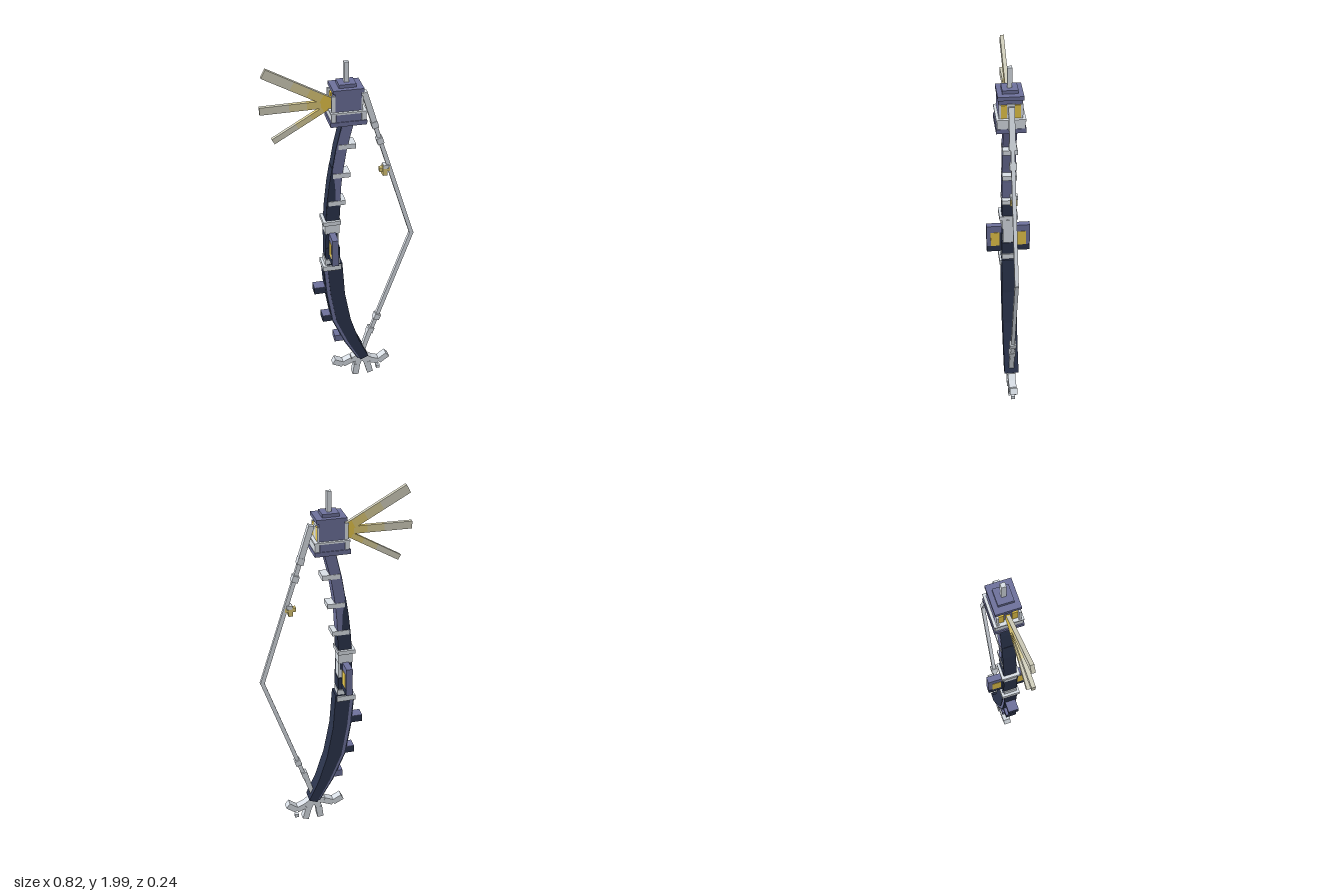
import * as THREE from 'three';

const mat = (name, color) => {
  const m = new THREE.MeshStandardMaterial({ color });
  m.name = name;
  return m;
};

export function createModel() {
  const root = new THREE.Group();
  root.name = 'bow';
  const slate = mat('slate', 0x6d719b);
  const navy = mat('navy', 0x2b344c);
  const grey = mat('pale grey', 0xd9dfe6);
  const gold = mat('gold', 0xeccb4c);
  const dullGold = mat('dull gold', 0xdfcb78);
  const paleGold = mat('pale gold', 0xdacf9c);
  const sand = mat('sand', 0xd3d1be);

  const add = (name, geo, m, parent = root) => {
    const mesh = new THREE.Mesh(geo, m);
    mesh.name = name;
    parent.add(mesh);
    return mesh;
  };
  // box from its limits in x and y, and its half depth about z
  const block = (name, m, x0, x1, y0, y1, hz, z = 0) => {
    const b = add(name, new THREE.BoxGeometry(x1 - x0, y1 - y0, hz * 2), m);
    b.position.set((x0 + x1) / 2, (y0 + y1) / 2, z);
    return b;
  };
  // square bar between two points in the xy plane
  const bar = (name, m, a, b, w, hz) => {
    const dx = b[0] - a[0], dy = b[1] - a[1];
    const mesh = add(name, new THREE.BoxGeometry(w, Math.hypot(dx, dy), hz * 2), m);
    mesh.position.set((a[0] + b[0]) / 2, (a[1] + b[1]) / 2, 0);
    mesh.rotation.z = Math.atan2(dy, dx) - Math.PI / 2;
    return mesh;
  };
  // slab whose outline lies between a left and a right edge
  const slab = (name, m, left, right, hz) => {
    const shape = new THREE.Shape([...left, ...[...right].reverse()].map(p => new THREE.Vector2(...p)));
    const geo = new THREE.ExtrudeGeometry(shape, { depth: hz * 2, bevelEnabled: false });
    geo.translate(0, 0, -hz);
    return add(name, geo, m);
  };
  // thin skin laid along a left edge
  const skin = (name, m, edge, t, hz) => slab(name, m, edge.map(([x, y]) => [x - t, y]), edge, hz);

  // Upper limb: slate front, navy back and navy root
  const upperEdge = [[0.005, 1.69], [-0.03, 1.54], [-0.05, 1.42], [-0.038, 1.33], [-0.034, 1.2]];
  slab('upperLimb', slate, upperEdge,
    [[0.062, 1.69], [0.025, 1.54], [0.006, 1.42], [-0.005, 1.33], [-0.012, 1.2]], 0.035);
  skin('upperLimbBack', navy, upperEdge.slice(0, 3), 0.004, 0.034);
  slab('upperLimbBackStrip', navy,
    [[-0.054, 1.43], [-0.07, 1.33], [-0.084, 1.2], [-0.09, 1.1]],
    [[-0.045, 1.43], [-0.036, 1.33], [-0.032, 1.2], [-0.04, 1.1]], 0.0345);
  slab('upperLimbRoot', navy,
    [[-0.08, 1.21], [-0.088, 1.1]], [[-0.01, 1.21], [-0.016, 1.1]], 0.036);
  for (const [x, y] of [[0.025, 1.55], [-0.003, 1.385], [-0.028, 1.222]])
    block('limbPeg', grey, x - 0.046, x + 0.046, y - 0.013, y + 0.013, 0.038);

  // Lower limb with its back strip and studs
  slab('lowerLimb', navy,
    [[-0.085, 0.84], [-0.065, 0.63], [-0.032, 0.44], [0.035, 0.28], [0.11, 0.135]],
    [[0.0, 0.84], [0.015, 0.63], [0.05, 0.44], [0.1, 0.28], [0.156, 0.155]], 0.04);
  const stripEdge = [[-0.099, 0.82], [-0.083, 0.64], [-0.051, 0.45], [0.022, 0.28], [0.1, 0.145]];
  slab('lowerLimbBackStrip', slate, stripEdge,
    [[-0.06, 0.82], [-0.04, 0.64], [0, 0.45], [0.06, 0.28], [0.115, 0.145]], 0.036);
  skin('lowerLimbBack', navy, stripEdge, 0.007, 0.036);
  for (const [x, y, m] of [[-0.155, 0.665, navy], [-0.11, 0.465, navy], [-0.042, 0.31, slate]]) {
    block('backStud', m, x, x + 0.07, y - 0.02, y + 0.018, 0.03);
    block('backStudTop', slate, x, x + 0.07, y + 0.018, y + 0.021, 0.03);
  }

  // Grip
  block('gripCore', grey, -0.085, -0.018, 0.83, 1.1, 0.03);
  block('gripUpperBlock', grey, -0.094, -0.016, 1.035, 1.09, 0.036);
  block('gripTopPlate', grey, -0.105, -0.01, 1.095, 1.118, 0.05);
  block('gripBottomPlate', grey, -0.108, -0.006, 0.805, 0.835, 0.05);
  block('gripCollar', grey, -0.094, -0.012, 0.835, 0.87, 0.036);
  block('gripLowerWrap', navy, -0.09, -0.014, 0.875, 0.945, 0.038);
  block('gripUpperWrap', navy, -0.09, -0.025, 1.0, 1.036, 0.037);
  block('gripBack', navy, -0.092, -0.06, 0.88, 1.04, 0.034);

  // Side guards of the grip with gold windows front and back
  for (const s of [1, -1]) {
    block('guard', slate, -0.072, -0.038, 0.88, 1.04, 0.041, s * 0.077);
    block('guardLowerFacing', navy, -0.074, -0.036, 0.88, 0.915, 0.041, s * 0.076);
    block('guardInnerFacing', navy, -0.074, -0.036, 0.915, 1.0, 0.006, s * 0.042);
    block('guardWindow', gold, -0.074, -0.036, 0.915, 1.0, 0.024, s * 0.072);
  }

  // Lantern head
  block('headBase', slate, -0.068, 0.118, 1.686, 1.71, 0.075);
  block('headBody', slate, -0.04, 0.092, 1.71, 1.86, 0.06);
  block('headBand', grey, -0.066, 0.118, 1.75, 1.76, 0.074);
  for (const [x0, x1] of [[-0.062, -0.04], [0.092, 0.116]])
    block('headSide', grey, x0, x1, 1.71, 1.755, 0.07);
  block('headFront', slate, -0.038, 0.09, 1.71, 1.75, 0.071);
  for (const s of [1, -1]) {
    block('headWindow', gold, -0.048, 0.1, 1.76, 1.83, 0.014, s * 0.034);
    block('headBackPost', grey, -0.06, -0.04, 1.76, 1.845, 0.006, s * 0.054);
    block('headFrontPost', grey, 0.092, 0.1, 1.76, 1.835, 0.006, s * 0.054);
  }
  block('headMiddlePost', grey, 0.092, 0.1, 1.76, 1.835, 0.02);
  block('headCap', slate, -0.052, 0.105, 1.857, 1.877, 0.065);
  block('headCapTop', slate, -0.018, 0.07, 1.877, 1.895, 0.04);
  block('headSpike', grey, 0.015, 0.039, 1.895, 2, 0.012);

  // Light rays, fading from gold to sand
  const origin = [-0.04, 1.785];
  const fade = [[0, gold], [0.17, dullGold], [0.36, paleGold], [0.6, sand], [1]];
  for (const [x, y, w] of [[-0.385, 1.975, 0.048], [-0.41, 1.78, 0.04], [-0.348, 1.607, 0.03]]) {
    const at = t => [origin[0] + (x - origin[0]) * t, origin[1] + (y - origin[1]) * t];
    for (let i = 0; i < 4; i++) bar('ray', fade[i][1], at(fade[i][0]), at(fade[i + 1][0]), w, 0.01);
  }
  // pale upper face of the top ray
  bar('topRaySkin', sand, [-0.05, 1.8165], [-0.3735, 1.996], 0.003, 0.01);

  // Drawn string with knots and charm
  bar('stringUpper', grey, [0.12, 1.82], [0.397, 0.955], 0.022, 0.01);
  bar('stringLower', grey, [0.397, 0.965], [0.12, 0.15], 0.022, 0.01);
  bar('stringTopTie', grey, [0.118, 1.83], [0.178, 1.64], 0.03, 0.015);
  bar('stringBottomTie', grey, [0.13, 0.18], [0.172, 0.33], 0.026, 0.014);
  for (const [x, y, a] of [[0.175, 1.645, 0.3], [0.205, 1.55, 0.3], [0.211, 0.412, -0.33], [0.174, 0.322, -0.33]]) {
    const k = block('stringKnot', grey, x - 0.017, x + 0.017, y - 0.018, y + 0.018, 0.018);
    k.rotation.z = a;
  }
  block('charmHook', grey, 0.225, 0.255, 1.385, 1.405, 0.019);
  block('charmBar', dullGold, 0.205, 0.262, 1.367, 1.39, 0.012);
  block('charmDrop', dullGold, 0.222, 0.246, 1.345, 1.4, 0.018);

  // Root-like claws at the foot
  const claws = [
    [[0.12, 0.14], [0.065, 0.125], [0.01, 0.1], [-0.045, 0.128]],
    [[0.115, 0.14], [0.095, 0.085], [0.086, 0.012]],
    [[0.13, 0.14], [0.155, 0.09], [0.175, 0.012]],
    [[0.125, 0.14], [0.175, 0.105], [0.225, 0.085], [0.278, 0.125]],
  ];
  for (const c of claws)
    for (let i = 1; i < c.length; i++) bar('claw', grey, c[i - 1], c[i], 0.036, 0.021);
  block('clawHub', grey, 0.085, 0.15, 0.105, 0.15, 0.022);
  block('pebble', grey, 0.214, 0.236, 0.026, 0.046, 0.011);

  return root;
}
